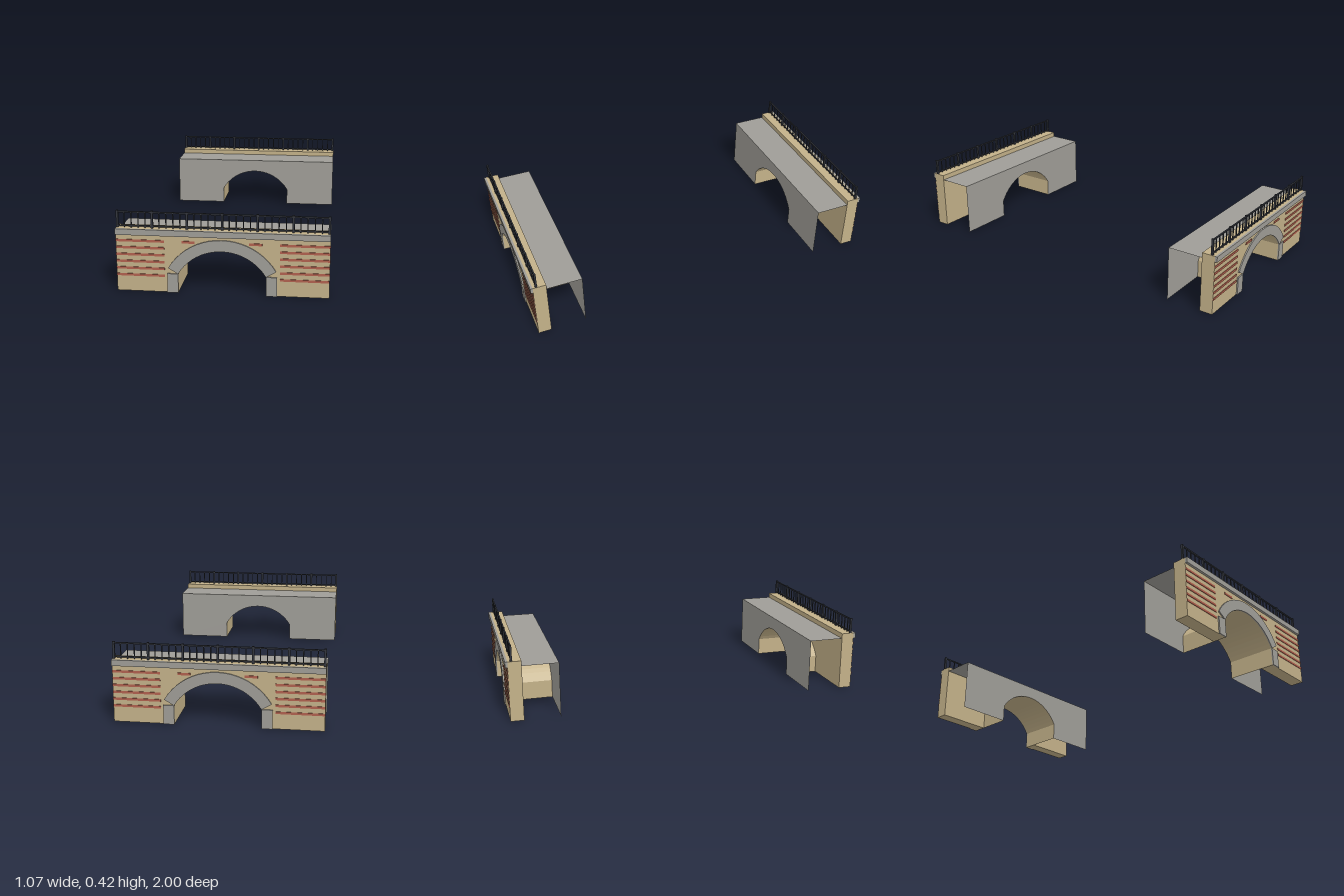
import * as THREE from 'three';

const mat = (name, color, side = THREE.FrontSide) => {
  const m = new THREE.MeshStandardMaterial({ color, side });
  m.name = name;
  return m;
};

// Main dimensions
const HALF = 0.533, TOP = 0.328, DECK = 0.3;
const BACK = 0.72, WALL_BACK = 0.915, FACE = 0.987;
const SPAN = 0.22, SPRING = 0.1, CENTRE = -0.031, R_IN = 0.256, R_OUT = 0.314;
const A0 = Math.atan2(SPRING - CENTRE, SPAN);
const SEGMENTS = 20;

// Points along an arch, from the right springing to the left one
function arc(radius) {
  return Array.from({ length: SEGMENTS + 1 }, (_, i) => {
    const a = A0 + (Math.PI - 2 * A0) * i / SEGMENTS;
    return new THREE.Vector2(radius * Math.cos(a), CENTRE + radius * Math.sin(a));
  });
}

// Opening outline: jamb, arch, jamb
const opening = () => [new THREE.Vector2(SPAN, 0), ...arc(R_IN), new THREE.Vector2(-SPAN, 0)];

// Rectangle with the arched opening cut out of its foot
const facadeShape = (top) => new THREE.Shape([
  new THREE.Vector2(HALF, 0), new THREE.Vector2(HALF, top),
  new THREE.Vector2(-HALF, top), new THREE.Vector2(-HALF, 0),
  ...opening().reverse(),
]);

// Open sheet made by sweeping a profile from z0 to z1
function sweptSheet(profile, z0, z1) {
  const pos = [];
  for (let i = 0; i < profile.length - 1; i++) {
    const a = profile[i], b = profile[i + 1];
    pos.push(a.x, a.y, z0, a.x, a.y, z1, b.x, b.y, z1);
    pos.push(a.x, a.y, z0, b.x, b.y, z1, b.x, b.y, z0);
  }
  const g = new THREE.BufferGeometry();
  g.setAttribute('position', new THREE.Float32BufferAttribute(pos, 3));
  g.computeVertexNormals();
  // Face the normals into the passage
  const n = g.attributes.normal;
  if (n.getX(0) > 0) {
    for (let i = 0; i < pos.length; i += 9) {
      for (let k = 0; k < 3; k++) [pos[i + 3 + k], pos[i + 6 + k]] = [pos[i + 6 + k], pos[i + 3 + k]];
    }
    g.setAttribute('position', new THREE.Float32BufferAttribute(pos, 3));
    g.computeVertexNormals();
  }
  return g;
}

function extrude(shape, z0, z1) {
  const g = new THREE.ExtrudeGeometry(shape, { depth: z1 - z0, bevelEnabled: false });
  return g.translate(0, 0, z0);
}

function buildSide(m) {
  const side = new THREE.Group();
  const add = (name, geometry, material, parent = side) => {
    const mesh = new THREE.Mesh(geometry, material);
    mesh.name = name;
    parent.add(mesh);
    return mesh;
  };
  // Box given by its limits
  const box = (name, x0, x1, y0, y1, z0, z1, material, parent) => {
    const mesh = add(name, new THREE.BoxGeometry(x1 - x0, y1 - y0, z1 - z0), material, parent);
    mesh.position.set((x0 + x1) / 2, (y0 + y1) / 2, (z0 + z1) / 2);
  };
  const subgroup = (name) => {
    const g = new THREE.Group();
    g.name = name;
    side.add(g);
    return g;
  };

  // Masonry wall, passage lining, deck and inner end panel
  add('wall', extrude(facadeShape(TOP), WALL_BACK, FACE), m.sand);
  add('archLining', sweptSheet(opening(), BACK, WALL_BACK), m.sandSheet);
  add('innerPanel', new THREE.ShapeGeometry(facadeShape(DECK)), m.stoneSheet).position.z = BACK;
  const deck = add('deck', new THREE.PlaneGeometry(2 * HALF, WALL_BACK - BACK).rotateX(-Math.PI / 2), m.stoneSheet);
  deck.position.set(0, DECK, (BACK + WALL_BACK) / 2);

  // Stone trim: coping band, arch ring and jambs
  box('copingBand', -HALF, HALF, 0.297, TOP, FACE, 1, m.stone);
  add('archRing', extrude(new THREE.Shape([...arc(R_OUT), ...arc(R_IN).reverse()]), FACE, 0.994), m.stone);
  for (const s of [-1, 1]) {
    const x = s * (SPAN + 0.0275);
    box('archJamb', x - 0.0275, x + 0.0275, 0, SPRING, FACE, 0.994, m.stone);
  }

  // Brick courses, long at the ends and short beside the crown
  const bricks = subgroup('brickCourses');
  for (const s of [-1, 1]) {
    const course = (a, b, y) => box('brickCourse', Math.min(s * a, s * b), Math.max(s * a, s * b),
      y - 0.006, y + 0.006, FACE, 0.99, m.brick, bricks);
    for (let i = 0; i < 6; i++) course(0.288, HALF, 0.086 + i * 0.036);
    course(0.135, 0.2, 0.266);
  }

  // Railing: posts, balusters and two rails
  const railing = subgroup('railing');
  const z = 0.968;
  const upright = (name, x, w, top) =>
    box(name, x - w / 2, x + w / 2, TOP, top, z - w / 2, z + w / 2, m.iron, railing);
  for (let i = 0; i <= 30; i++) {
    const x = -0.526 + 1.052 * i / 30;
    if (i % 5 === 0) upright('railingPost', x, 0.011, 0.416);
    else upright('baluster', x, 0.005, 0.408);
  }
  box('topRail', -0.526, 0.526, 0.405, 0.412, z - 0.004, z + 0.004, m.iron, railing);
  box('bottomRail', -0.526, 0.526, 0.334, 0.341, z - 0.003, z + 0.003, m.iron, railing);
  return side;
}

export function createModel() {
  const m = {
    sand: mat('sandstone', 0xc3b189),
    sandSheet: mat('sandstone', 0xc3b189, THREE.DoubleSide),
    stone: mat('greyStone', 0x9f9d97),
    stoneSheet: mat('greyStone', 0x9f9d97, THREE.DoubleSide),
    brick: mat('redBrick', 0xb0604e),
    iron: mat('darkIron', 0x33363d),
  };
  // One material per colour, visible from both sides
  m.sand = m.sandSheet;
  m.stone = m.stoneSheet;

  const model = new THREE.Group();
  model.name = 'archBridgeEnds';
  const front = buildSide(m);
  front.name = 'frontSide';
  const back = buildSide(m);
  back.name = 'backSide';
  back.rotation.y = Math.PI;
  model.add(front, back);
  return model;
}
